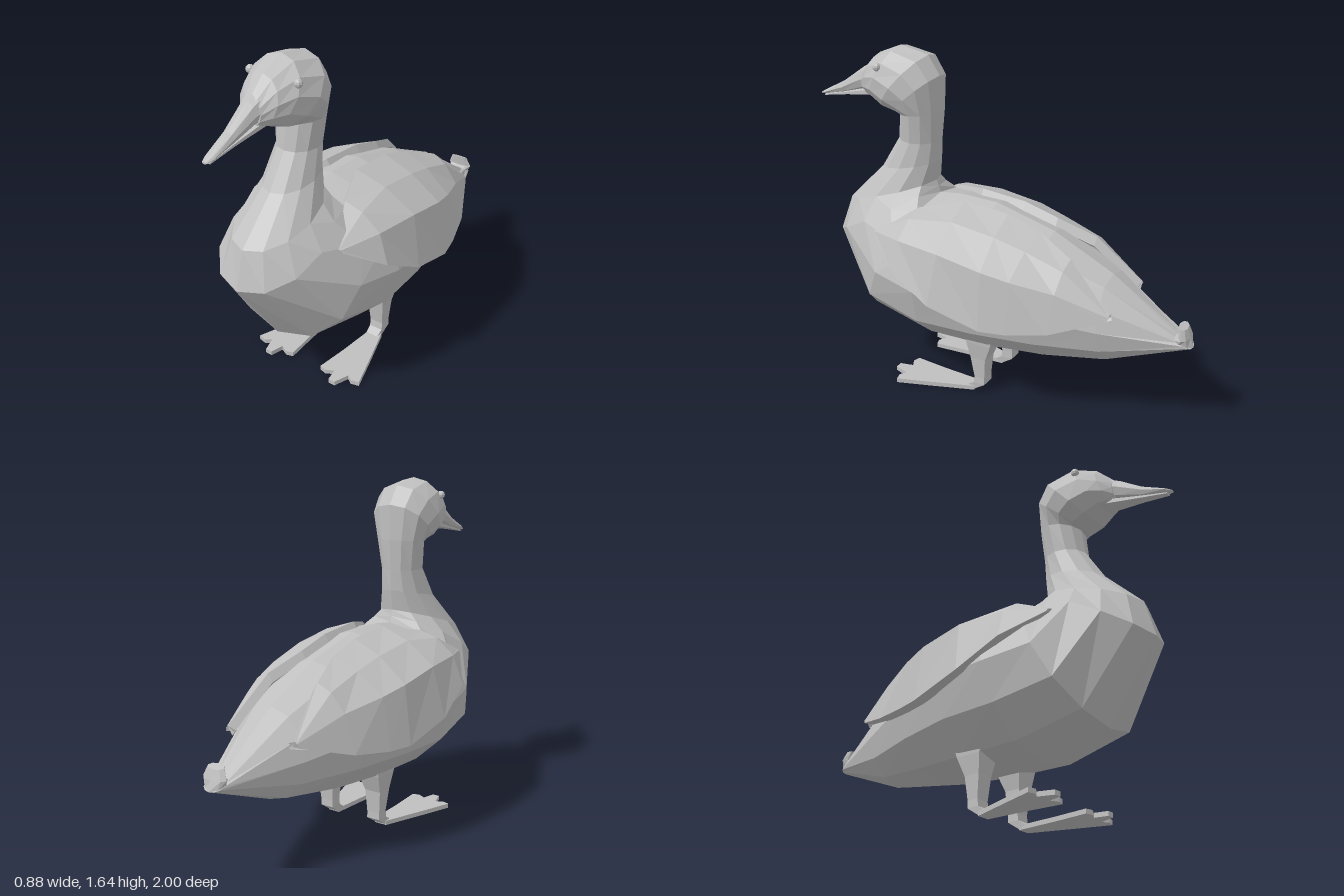
import * as THREE from 'three';

const plumage = new THREE.MeshStandardMaterial({ color: 0xbfbfbf });
plumage.name = 'plain grey';

function faceted(name, geometry) {
  const flat = geometry.index ? geometry.toNonIndexed() : geometry;
  flat.computeVertexNormals();
  const mesh = new THREE.Mesh(flat, plumage);
  mesh.name = name;
  return mesh;
}

// Closed loft through rings of [x, y, z] points, capped at both ends and facing outwards
function loft(rings) {
  const n = rings[0].length, pos = rings.flat(2), faces = [];
  for (let r = 0; r < rings.length - 1; r++) {
    for (let i = 0; i < n; i++) {
      const a = r * n + i, b = r * n + (i + 1) % n;
      faces.push([a, b, b + n], [a, b + n, a + n]);
    }
  }
  const last = (rings.length - 1) * n;
  for (let i = 1; i < n - 1; i++) {
    faces.push([0, i + 1, i], [last, last + i, last + i + 1]);
  }
  const point = i => new THREE.Vector3().fromArray(pos, i * 3);
  const volume = faces.reduce((v, [a, b, c]) => v + point(a).dot(point(b).cross(point(c))), 0);
  const index = faces.flatMap(f => (volume < 0 ? [f[0], f[2], f[1]] : f));
  const g = new THREE.BufferGeometry();
  g.setAttribute('position', new THREE.Float32BufferAttribute(pos, 3));
  g.setIndex(index);
  return g;
}

// Tilted elliptical ring: back point (z, y), front point (z, y) and half width
function oval([tz, ty, bz, by, w], n = 12) {
  return Array.from({ length: n }, (_, i) => {
    const a = i / n * Math.PI * 2, c = Math.cos(a) / 2;
    return [w * Math.sin(a), (ty + by) / 2 + (ty - by) * c, (tz + bz) / 2 + (tz - bz) * c];
  });
}
const ovalLoft = (rows, n) => loft(rows.map(r => oval(r, n)));

// Wing: each row is upper edge, ridge and lower edge, thickened towards the body
function wing(side) {
  const rows = [
    [[.27, .805, .52], [.285, .80, .515], [.295, .785, .51]],
    [[.17, .92, .33], [.36, .82, .33], [.41, .68, .34]],
    [[.085, .965, .13], [.388, .815, .10], [.44, .57, .13]],
    [[.085, .945, -.10], [.38, .775, -.12], [.42, .50, -.13]],
    [[.09, .895, -.27], [.35, .745, -.25], [.39, .50, -.25]],
    [[.14, .82, -.45], [.28, .70, -.44], [.33, .52, -.43]],
    [[.19, .62, -.67], [.20, .61, -.67], [.21, .59, -.66]],
  ];
  return loft(rows.map(([top, ridge, low], i) => {
    const bulge = i === 0 || i === rows.length - 1 ? 0 : .025;
    const mid = top.map((v, k) => (v + ridge[k]) / 2 + (k === 1 ? bulge : 0));
    const lowIn = [low[0] - .07, low[1] + .01, low[2]];
    const topIn = [top[0] - .025, top[1] - .04, top[2]];
    return [top, mid, ridge, low, lowIn, topIn].map(([x, y, z]) => [x * side, y, z]);
  }));
}

// Leg: rectangular rows of y, x range and z range
function leg(side) {
  return loft([
    [.34, .075, .205, -.08, .08],
    [.28, .08, .20, -.065, .065],
    [.19, .10, .185, -.03, .05],
    [.08, .105, .175, -.02, .035],
    [.045, .105, .175, -.02, .04],
    [.004, .11, .17, .04, .10],
  ].map(([y, x0, x1, z0, z1]) =>
    [[x0, z0], [x1, z0], [x1, z1], [x0, z1]].map(([x, z]) => [x * side, y, z])));
}

// Webbed foot: flat outline with three toes, turned outwards
function foot(side) {
  const outline = [[.11, .04], [.175, .04], [.25, .25], [.305, .41], [.265, .42], [.235, .40],
    [.21, .475], [.175, .475], [.16, .41], [.12, .43], [.085, .42], [.10, .25]];
  const shape = new THREE.Shape(outline.map(([x, z]) => new THREE.Vector2(x * side, z)));
  return new THREE.ExtrudeGeometry(shape, { depth: .022, bevelEnabled: false })
    .rotateX(Math.PI / 2).translate(0, .022, 0);
}

export function createModel() {
  const bird = new THREE.Group();
  bird.name = 'waterBird';

  // Body, neck and head in one skin, from tail to face
  bird.add(faceted('bodyNeckAndHead', ovalLoft([
    [-.93, .495, -1, .455, .05],
    [-.60, .725, -.62, .305, .20],
    [-.30, .87, -.33, .26, .31],
    [0, .95, -.05, .24, .38],
    [.20, .955, .27, .235, .40],
    [.32, .94, .62, .31, .36],
    [.33, .97, .87, .67, .25],
    [.34, 1.0, .82, .85, .175],
    [.325, 1.1, .63, 1.04, .12],
    [.32, 1.2, .53, 1.2, .10],
    [.31, 1.35, .51, 1.33, .12],
    [.31, 1.52, .53, 1.325, .152],
    [.37, 1.61, .60, 1.34, .168],
    [.52, 1.64, .66, 1.37, .14],
    [.64, 1.59, .70, 1.38, .10],
    [.72, 1.51, .725, 1.39, .055],
  ])));

  // Upper and lower bill
  bird.add(faceted('upperBill', ovalLoft([
    [.66, 1.55, .66, 1.41, .07],
    [.74, 1.505, .74, 1.395, .048],
    [.86, 1.42, .86, 1.362, .032],
    [.97, 1.362, .97, 1.338, .025],
    [1, 1.345, 1, 1.335, .012],
  ], 8)));
  bird.add(faceted('lowerBill', ovalLoft([
    [.68, 1.42, .68, 1.375, .05],
    [.84, 1.375, .84, 1.352, .028],
    [.98, 1.338, .98, 1.328, .015],
  ], 6)));

  // Upturned tail tip
  bird.add(faceted('tailCurl', ovalLoft([
    [-.89, .49, -1, .455, .05],
    [-.935, .51, -.985, .50, .065],
    [-.93, .56, -.97, .545, .045],
  ], 8)));

  // Paired parts
  for (const [side, label] of [[1, 'left'], [-1, 'right']]) {
    bird.add(faceted(label + 'Wing', wing(side)));
    bird.add(faceted(label + 'Leg', leg(side)));
    bird.add(faceted(label + 'Foot', foot(side)));
    const eye = faceted(label + 'Eye', new THREE.SphereGeometry(.02, 8, 6));
    eye.position.set(.127 * side, 1.555, .573);
    bird.add(eye);
  }
  return bird;
}
